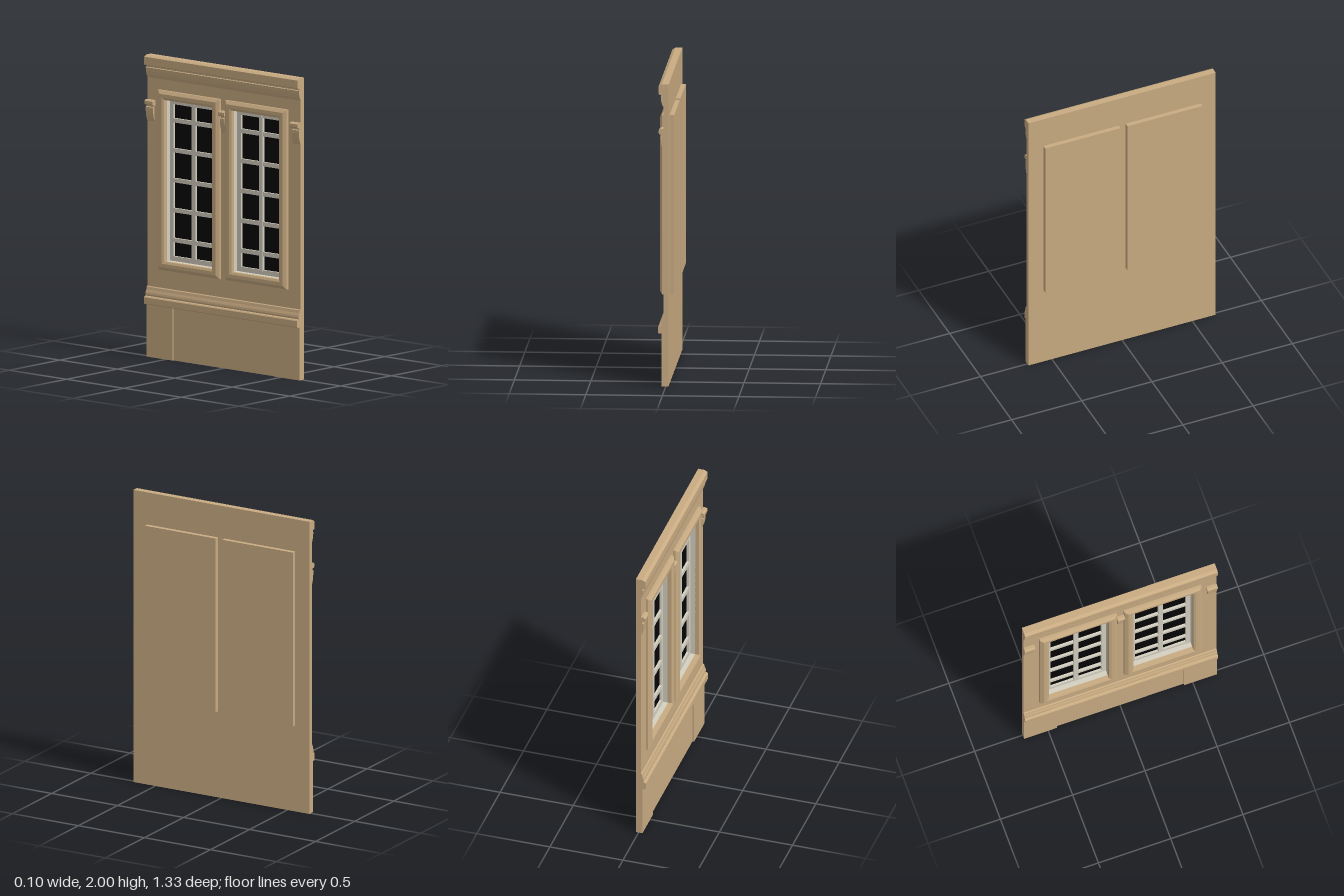
import * as THREE from 'three';

const wood = new THREE.MeshStandardMaterial({ color: 0xc8ab82 });
const paint = new THREE.MeshStandardMaterial({ color: 0xd4cfc0 });
const black = new THREE.MeshStandardMaterial({ color: 0x050505 });
const HALF = 0.667, WALL_FRONT = -0.016, WALL_BACK = 0.018;
// Outer edges of one window (z measured from its own centre)
const WIN = { z: 0.2925, w: 0.2675, y0: 0.59, y1: 1.78 };

function add(parent, name, geometry, material) {
  const mesh = new THREE.Mesh(geometry, material);
  mesh.name = name;
  parent.add(mesh);
  return mesh;
}

function box(parent, name, x0, x1, y0, y1, z0, z1, material = wood) {
  const mesh = add(parent, name, new THREE.BoxGeometry(x1 - x0, y1 - y0, z1 - z0), material);
  mesh.position.set((x0 + x1) / 2, (y0 + y1) / 2, (z0 + z1) / 2);
  return mesh;
}

function rectangle(path, z0, z1, y0, y1) {
  path.moveTo(z0, y0);
  path.lineTo(z1, y0);
  path.lineTo(z1, y1);
  path.lineTo(z0, y1);
  path.closePath();
  return path;
}

// Upright plate in the y-z plane with rectangular holes
function plate(parent, name, outer, holes, xFront, xBack, material) {
  const shape = rectangle(new THREE.Shape(), ...outer);
  holes.forEach((h) => shape.holes.push(rectangle(new THREE.Path(), ...h)));
  const g = new THREE.ExtrudeGeometry(shape, { depth: xBack - xFront, bevelEnabled: false });
  g.rotateY(-Math.PI / 2);
  g.translate(xBack, 0, 0);
  return add(parent, name, g, material);
}

const inset = (d, zc = 0) => [zc - WIN.w + d, zc + WIN.w - d, WIN.y0 + d, WIN.y1 - d];

// Moulding: an x-y profile run along z
function moulding(parent, name, points, z0, z1) {
  const shape = new THREE.Shape(points.map(([x, y]) => new THREE.Vector2(x, y)));
  const g = new THREE.ExtrudeGeometry(shape, { depth: z1 - z0, bevelEnabled: false });
  g.translate(0, 0, z0);
  return add(parent, name, g, wood);
}

// Mitred casing: an (inset, x) profile carried round the window rectangle
function casingGeometry(profile) {
  const rings = profile.map(([d, x]) => {
    const [z0, z1, y0, y1] = inset(d);
    return [[x, y0, z0], [x, y0, z1], [x, y1, z1], [x, y1, z0]];
  });
  const pos = [];
  for (let i = 0; i < rings.length - 1; i++) {
    for (let k = 0; k < 4; k++) {
      const n = (k + 1) % 4;
      const a = rings[i][k], b = rings[i][n], c = rings[i + 1][n], d = rings[i + 1][k];
      pos.push(...a, ...b, ...c, ...a, ...c, ...d);
    }
  }
  const g = new THREE.BufferGeometry();
  g.setAttribute('position', new THREE.Float32BufferAttribute(pos, 3));
  g.computeVertexNormals();
  return g;
}

function createWindow() {
  const win = new THREE.Group();
  win.name = 'window';
  add(win, 'windowCasing', casingGeometry([
    [0, -0.014], [0, -0.032], [0.022, -0.047], [0.045, -0.047], [0.06, -0.04], [0.06, -0.014],
  ]), wood);
  plate(win, 'windowLining', inset(0.05), [inset(0.06)], WALL_FRONT, 0.034, paint);
  plate(win, 'sash', inset(0.058), [inset(0.092)], 0.018, 0.036, paint);

  // Glazing bars
  box(win, 'verticalBar', 0.014, 0.036, WIN.y0 + 0.08, WIN.y1 - 0.08, -0.016, 0.016, paint);
  const step = (WIN.y1 - WIN.y0) / 6;
  for (let i = 1; i < 6; i++) {
    const y = WIN.y0 + step * i;
    box(win, 'horizontalBar', 0.017, 0.036, y - 0.014, y + 0.014, -0.18, 0.18, paint);
  }
  box(win, 'glass', 0.033, 0.037, WIN.y0 + 0.07, WIN.y1 - 0.07, -0.2, 0.2, black);

  // Rear box enclosing the glazing
  plate(win, 'rearBoxSides', inset(0), [inset(0.05)], 0.017, 0.037, wood);
  box(win, 'rearBoxBack', 0.037, 0.048, WIN.y0, WIN.y1, -WIN.w, WIN.w);
  return win;
}

export function createModel() {
  const model = new THREE.Group();
  model.name = 'windowWall';

  plate(model, 'wall', [-HALF, HALF, 0, 2],
    [inset(0.05, -WIN.z), inset(0.05, WIN.z)], WALL_FRONT, WALL_BACK, wood);

  for (const s of [-1, 1]) {
    const win = createWindow();
    win.position.z = s * WIN.z;
    model.add(win);
    // Raised end panels below the rail
    box(model, 'basePanel', -0.027, -0.01, 0, 0.37, s * 0.5535 - 0.1135, s * 0.5535 + 0.1135);
  }

  // Rail below the windows
  moulding(model, 'rail', [
    [-0.01, 0.35], [-0.045, 0.35], [-0.05, 0.355], [-0.05, 0.395], [-0.045, 0.402], [-0.033, 0.405],
    [-0.036, 0.415], [-0.034, 0.428], [-0.027, 0.445], [-0.023, 0.463], [-0.016, 0.468], [-0.01, 0.468],
  ], -HALF, HALF);

  // Cornice along the top
  moulding(model, 'cornice', [
    [-0.01, 2], [-0.027, 2], [-0.047, 1.988], [-0.047, 1.937], [-0.042, 1.932], [-0.026, 1.93],
    [-0.026, 1.92], [-0.033, 1.917], [-0.031, 1.895], [-0.025, 1.87], [-0.016, 1.85], [-0.01, 1.85],
  ], -HALF, HALF);

  // Small capped brackets at both ends and between the windows
  const spans = [[-HALF, -0.595, -HALF, -0.603], [-0.025, 0.025, -0.02, 0.02], [0.595, HALF, 0.603, HALF]];
  for (const [c0, c1, b0, b1] of spans) {
    moulding(model, 'bracketCap', [
      [-0.01, 1.705], [-0.035, 1.705], [-0.046, 1.697], [-0.046, 1.678], [-0.04, 1.67], [-0.01, 1.67],
    ], c0, c1);
    moulding(model, 'bracketBody', [
      [-0.01, 1.672], [-0.025, 1.672], [-0.025, 1.658], [-0.033, 1.655], [-0.033, 1.635],
      [-0.03, 1.605], [-0.024, 1.58], [-0.016, 1.56], [-0.01, 1.56],
    ], b0, b1);
  }
  return model;
}
